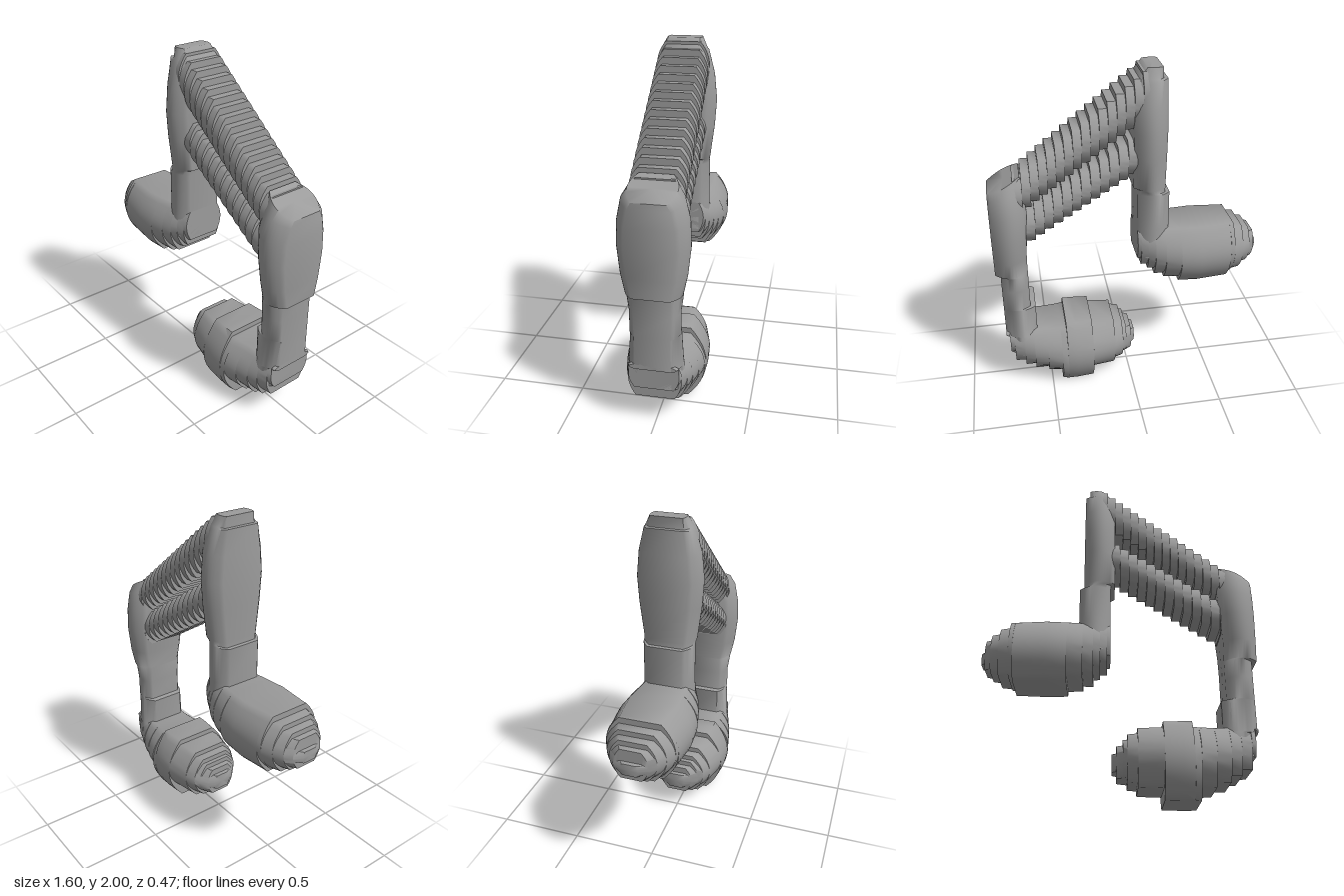
import * as THREE from 'three';
import { toCreasedNormals } from 'three/addons/utils/BufferGeometryUtils.js';

const N = 12; // divisions across each pillow-shaped face

// Skins pillow-shaped sections. Each station is
// [x0, y0, x1, y1, edge half depth, middle half depth].
function loft(stations) {
  const pos = [], idx = [], ring = 2 * (N + 1);
  for (const [x0, y0, x1, y1, edge, mid] of stations) {
    for (let k = 0; k < ring; k++) {
      const front = k <= N;
      const t = (front ? k : ring - 1 - k) / N;
      const u = 2 * t - 1;
      const z = edge + (mid - edge) * (1 - u * u);
      pos.push(x0 + (x1 - x0) * t, y0 + (y1 - y0) * t, front ? z : -z);
    }
  }
  for (let s = 0; s < stations.length - 1; s++) {
    for (let k = 0; k < ring; k++) {
      const a = s * ring + k, b = s * ring + (k + 1) % ring;
      idx.push(a, b, b + ring, a, b + ring, a + ring);
    }
  }
  // end caps
  [0, stations.length - 1].forEach((s, end) => {
    const [x0, y0, x1, y1] = stations[s];
    const c = pos.length / 3;
    pos.push((x0 + x1) / 2, (y0 + y1) / 2, 0);
    for (let k = 0; k < ring; k++) {
      const a = s * ring + k, b = s * ring + (k + 1) % ring;
      if (end) idx.push(c, a, b); else idx.push(c, b, a);
    }
  });
  const g = new THREE.BufferGeometry();
  g.setAttribute('position', new THREE.Float32BufferAttribute(pos, 3));
  g.setIndex(idx);
  return toCreasedNormals(g, 0.9);
}

// Stair-stepped body along x: every column [x, top, bottom, edge, mid]
// keeps its height until the next column starts.
function stepped(cols) {
  const st = [];
  for (let i = 0; i < cols.length - 1; i++) {
    const [x, top, bottom, edge, mid] = cols[i];
    const [nx, , , nEdge, nMid] = cols[i + 1];
    st.push([x, top, x, bottom, edge, mid], [nx, top, nx, bottom, nEdge, nMid]);
  }
  return loft(st);
}

// Slanted beam with stair-stepped upper and lower edges
function beam(xa, topA, botA, xb, topB, botB, steps, edge, mid) {
  const cols = [];
  for (let i = 0; i <= steps; i++) {
    const t = i / steps, m = Math.min(1, (i + 0.5) / steps);
    cols.push([xa + (xb - xa) * t, topA + (topB - topA) * m,
      botA + (botB - botA) * m, edge, mid]);
  }
  return stepped(cols);
}

export function createModel() {
  const grey = new THREE.MeshStandardMaterial({ color: 0x9c9c9c });
  grey.name = 'grey';
  const model = new THREE.Group();
  model.name = 'beamedNotes';
  const add = (name, geometry) => {
    const mesh = new THREE.Mesh(geometry, grey);
    mesh.name = name;
    model.add(mesh);
  };

  // note heads
  add('upperNoteHead', stepped([
    [-0.80, 0.87, 0.80, 0.04, 0.05],
    [-0.775, 0.94, 0.76, 0.06, 0.10],
    [-0.74, 0.97, 0.74, 0.08, 0.135],
    [-0.69, 1.00, 0.71, 0.10, 0.17],
    [-0.63, 1.035, 0.70, 0.12, 0.20],
    [-0.605, 1.035, 0.67, 0.12, 0.208],
    [-0.42, 1.035, 0.67, 0.14, 0.23],
    [-0.30, 1.035, 0.70, 0.13, 0.22],
    [-0.21, 1.035, 0.73, 0.12, 0.20],
    [-0.15, 1.03, 0.77, 0.12, 0.18],
    [-0.11, 1.03, 0.80, 0.11, 0.16],
    [-0.07, 1.03, 0.84, 0.11, 0.14],
    [-0.05, 1.03, 0.84, 0.10, 0.13],
  ]));
  add('lowerNoteHead', stepped([
    [-0.04, 0.27, 0.17, 0.04, 0.06],
    [-0.015, 0.31, 0.13, 0.06, 0.10],
    [0.02, 0.34, 0.13, 0.08, 0.135],
    [0.045, 0.37, 0.10, 0.09, 0.16],
    [0.10, 0.40, 0.07, 0.11, 0.19],
    [0.24, 0.432, 0.0, 0.13, 0.228],
    [0.34, 0.432, 0.0, 0.14, 0.236],
    [0.40, 0.40, 0.0, 0.14, 0.232],
    [0.435, 0.40, 0.07, 0.13, 0.228],
    [0.52, 0.40, 0.10, 0.12, 0.21],
    [0.60, 0.40, 0.135, 0.12, 0.19],
    [0.66, 0.40, 0.17, 0.12, 0.17],
    [0.72, 0.40, 0.24, 0.11, 0.15],
    [0.745, 0.40, 0.37, 0.11, 0.14],
    [0.765, 0.40, 0.37, 0.10, 0.13],
  ]));

  // stems
  add('leftStem', loft([
    [-0.235, 0.86, -0.05, 0.86, 0.10, 0.16],
    [-0.235, 1.05, -0.05, 1.05, 0.10, 0.15],
    [-0.235, 1.27, -0.05, 1.27, 0.10, 0.15],
    [-0.21, 1.27, -0.05, 1.30, 0.10, 0.15],
    [-0.21, 1.30, -0.025, 1.31, 0.10, 0.155],
    [-0.21, 1.50, -0.025, 1.50, 0.12, 0.18],
    [-0.21, 1.65, -0.025, 1.65, 0.13, 0.19],
    [-0.21, 1.80, -0.025, 1.80, 0.12, 0.175],
    [-0.21, 1.94, -0.035, 1.91, 0.10, 0.14],
    [-0.185, 1.94, -0.06, 1.95, 0.095, 0.13],
    [-0.185, 2.0, -0.10, 2.0, 0.09, 0.10],
  ]));
  add('rightStem', loft([
    [0.575, 0.24, 0.745, 0.24, 0.10, 0.16],
    [0.575, 0.37, 0.745, 0.37, 0.10, 0.155],
    [0.575, 0.38, 0.765, 0.37, 0.10, 0.152],
    [0.575, 0.565, 0.765, 0.565, 0.10, 0.14],
    [0.605, 0.57, 0.765, 0.57, 0.10, 0.14],
    [0.605, 0.70, 0.765, 0.70, 0.10, 0.14],
    [0.605, 0.805, 0.765, 0.805, 0.10, 0.155],
    [0.605, 0.81, 0.795, 0.81, 0.10, 0.155],
    [0.605, 0.92, 0.795, 0.92, 0.12, 0.178],
    [0.595, 1.08, 0.795, 1.08, 0.135, 0.195],
    [0.585, 1.23, 0.795, 1.20, 0.13, 0.19],
    [0.60, 1.36, 0.795, 1.30, 0.11, 0.165],
    [0.61, 1.43, 0.795, 1.335, 0.09, 0.13],
  ]));

  // two parallel beams with a narrow slot between them
  add('upperBeam', beam(-0.12, 2.0, 1.755, 0.70, 1.36, 1.155, 17, 0.10, 0.15));
  add('lowerBeam', beam(-0.10, 1.65, 1.445, 0.65, 1.165, 0.97, 14, 0.09, 0.14));

  return model;
}
